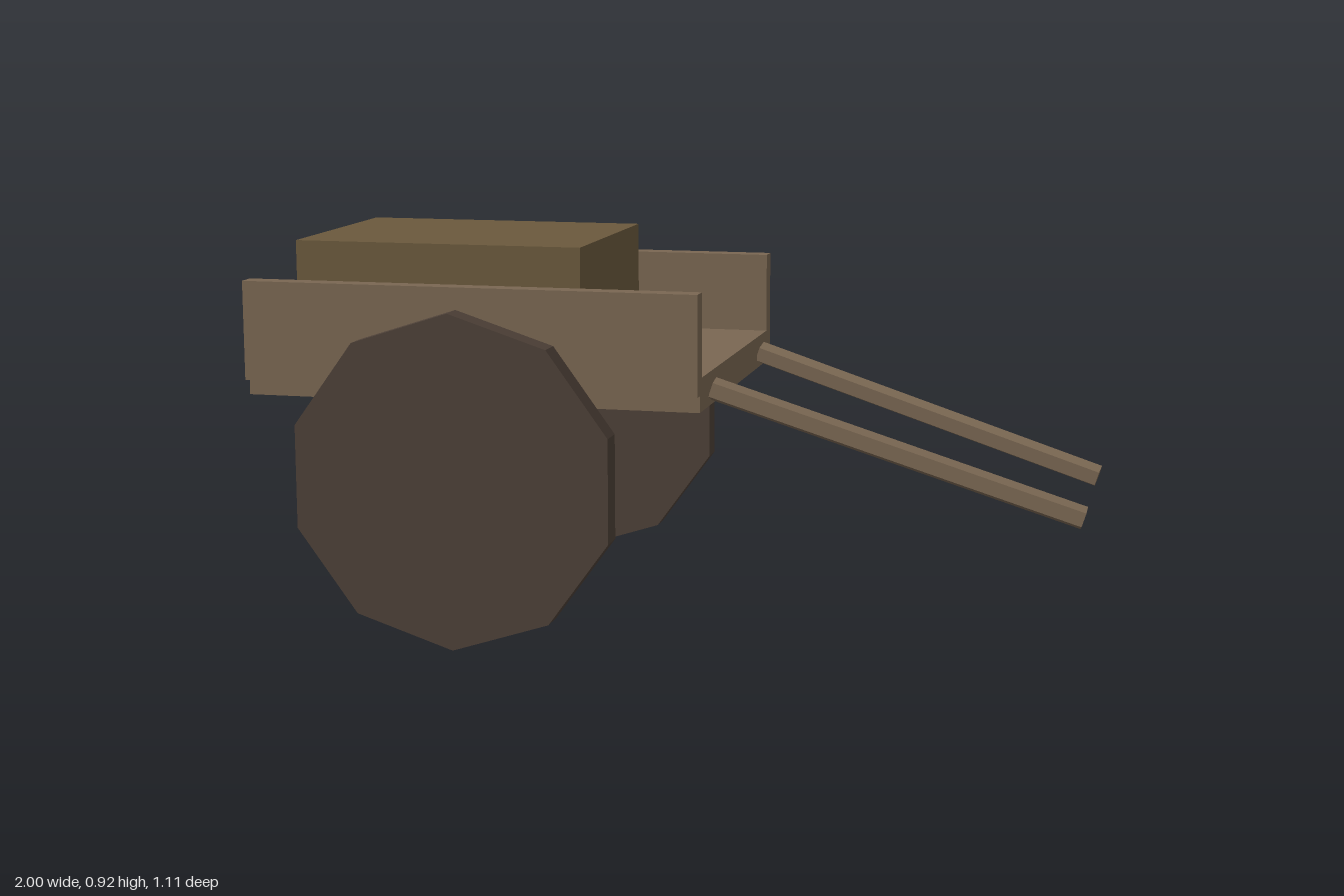
import * as THREE from 'three';

const material = (color) => new THREE.MeshStandardMaterial({ color, flatShading: true });

export function createModel() {
  const cart = new THREE.Group();
  cart.name = 'handcart';
  const wood = material(0x7a6752);
  const crateWood = material(0x6b593d);
  const wheelWood = material(0x4d4037);

  const add = (name, geometry, mat, x, y, z) => {
    const mesh = new THREE.Mesh(geometry, mat);
    mesh.name = name;
    mesh.position.set(x, y, z);
    cart.add(mesh);
    return mesh;
  };

  // Flat bed and the crate resting on it
  add('bed', new THREE.BoxGeometry(1.113, 0.08, 0.795), wood, -0.443, 0.6, 0);
  add('crate', new THREE.BoxGeometry(0.715, 0.278, 0.556), crateWood, -0.562, 0.783, 0);

  // Ten-sided solid wheel, one corner pointing down
  const wheelGeometry = new THREE.CylinderGeometry(0.398, 0.398, 0.063, 10).rotateX(Math.PI / 2);
  // Five-sided pull shaft
  const up = new THREE.Vector3(0, 1, 0);

  for (const [side, s] of [['left', -1], ['right', 1]]) {
    add(side + 'SideBoard', new THREE.BoxGeometry(1.113, 0.239, 0.047), wood, -0.443, 0.719, s * 0.4);
    add(side + 'Wheel', wheelGeometry, wheelWood, -0.443, 0.398, s * 0.525);

    // Shafts slope down and converge slightly toward the free end
    const start = new THREE.Vector3(0.116, 0.598, s * 0.28);
    const end = new THREE.Vector3(0.988, 0.321, s * 0.24);
    const axis = end.clone().sub(start);
    const geometry = new THREE.CylinderGeometry(0.029, 0.029, axis.length(), 5).rotateY(Math.PI);
    const middle = start.add(end).multiplyScalar(0.5);
    add(side + 'Shaft', geometry, wood, middle.x, middle.y, middle.z)
      .quaternion.setFromUnitVectors(up, axis.normalize());
  }
  return cart;
}
